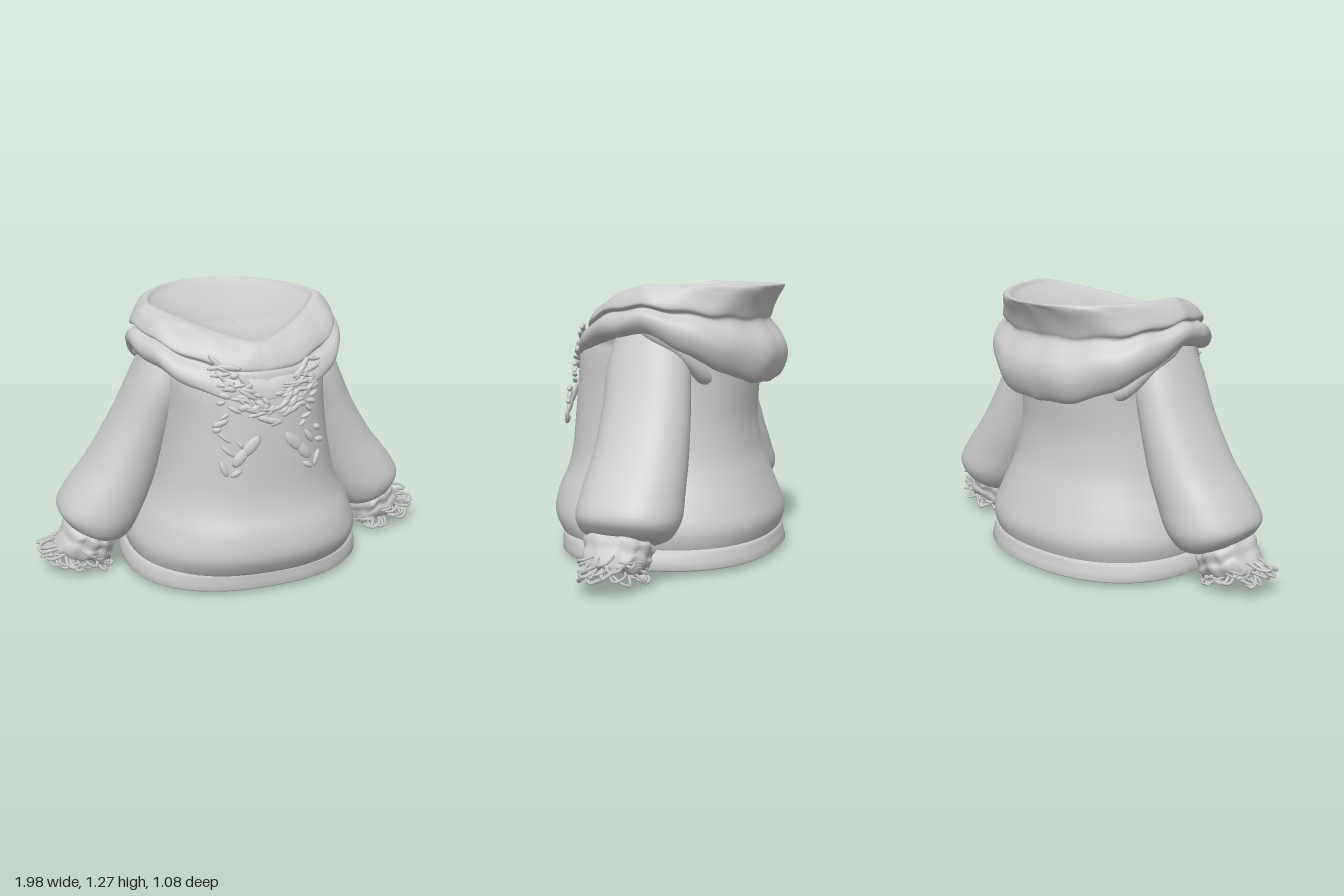
import * as THREE from 'three';

const mat = new THREE.MeshStandardMaterial({ color: 0xcccccc, roughness: 0.9, side: THREE.DoubleSide });

// Small seeded generator for the frayed threads
let seed = 7;
const rnd = (a, b) => {
  seed = (seed * 16807) % 2147483647;
  return a + (b - a) * (seed / 2147483647);
};

// Smoothly interpolate table rows (Catmull-Rom per column)
function smoothRows(rows, k) {
  const out = [];
  const n = rows.length;
  for (let i = 0; i < n - 1; i++) {
    const p = [rows[Math.max(i - 1, 0)], rows[i], rows[i + 1], rows[Math.min(i + 2, n - 1)]];
    for (let s = 0; s < k; s++) {
      const t = s / k;
      out.push(rows[i].map((_, c) => {
        const [a, b, d, e] = p.map((r) => r[c]);
        return b + 0.5 * t * (d - a + t * (2 * a - 5 * b + 4 * d - e + t * (3 * (b - d) + e - a)));
      }));
    }
  }
  out.push(rows[n - 1]);
  return out;
}

// Skin a stack of closed rings; point(row, angle) returns [x, y, z]
function loft(name, rows, seg, point) {
  const pos = [];
  const idx = [];
  rows.forEach((row, i) => {
    for (let j = 0; j < seg; j++) {
      pos.push(...point(row, (j / seg) * Math.PI * 2));
      if (i === rows.length - 1) continue;
      const a = i * seg + j;
      const b = i * seg + ((j + 1) % seg);
      idx.push(a, b, a + seg, b, b + seg, a + seg);
    }
  });
  const g = new THREE.BufferGeometry();
  g.setAttribute('position', new THREE.Float32BufferAttribute(pos, 3));
  g.setIndex(idx);
  g.computeVertexNormals();
  const m = new THREE.Mesh(g, mat);
  m.name = name;
  return m;
}

const spow = (v, e) => Math.sign(v) * Math.pow(Math.abs(v), e);

// Row: front z, half width, back z, y at front / side / back, front roundness, back roundness
function ringPoint([zf, hw, zb, yf, ys, yb, ef, eb], a, zc = 0) {
  const s = Math.sin(a);
  const c = Math.cos(a);
  const e = c > 0 ? ef : eb;
  const w = Math.pow(Math.abs(c), c > 0 ? 2 : 1.1);
  return [
    hw * spow(s, e),
    ys + ((c > 0 ? yf : yb) - ys) * w,
    zc + ((c > 0 ? zf : zb) - zc) * Math.pow(Math.abs(c), e),
  ];
}

// Body rows: y, half width, front z, back z
const bodyRow = ([y, hw, zf, zb]) => [zf, hw, zb, y, y, y, 0.86, 0.88];

function makeBody() {
  const g = new THREE.Group();
  g.name = 'body';
  const torso = [
    [0.08, 0.53, 0.47, -0.49], [0.12, 0.555, 0.505, -0.515], [0.2, 0.562, 0.542, -0.53],
    [0.3, 0.525, 0.53, -0.495], [0.4, 0.475, 0.49, -0.455], [0.5, 0.44, 0.47, -0.42],
    [0.65, 0.41, 0.46, -0.4], [0.8, 0.39, 0.45, -0.41], [0.92, 0.385, 0.437, -0.42],
    [0.99, 0.38, 0.41, -0.42], [1.06, 0.36, 0.35, -0.39], [1.07, 0.001, 0.001, -0.001],
  ];
  g.add(loft('torso', smoothRows(torso.map(bodyRow), 5), 96, ringPoint));
  const hem = [
    [0.025, 0.001, 0.001, -0.001], [0.025, 0.575, 0.485, -0.525], [0.025, 0.575, 0.485, -0.525],
    [0.035, 0.585, 0.492, -0.535], [0.065, 0.582, 0.492, -0.525], [0.095, 0.573, 0.492, -0.518],
    [0.115, 0.56, 0.493, -0.514], [0.125, 0.5, 0.45, -0.46],
  ];
  g.add(loft('hemBand', hem.map(bodyRow), 96, ringPoint));
  return g;
}

// Lowered hood: two rolled folds, a rim and a shallow sagging hollow
function makeHood() {
  const rows = [
    [0.38, 0.36, -0.40, 0.90, 1.04, 0.84, 1.0, 0.9],
    [0.43, 0.465, -0.49, 0.91, 1.055, 0.82, 0.95, 0.9],
    [0.43, 0.505, -0.535, 0.95, 1.10, 0.91, 0.95, 0.9],
    [0.415, 0.50, -0.525, 0.99, 1.145, 1.0, 1.0, 0.9],
    [0.39, 0.46, -0.46, 1.02, 1.165, 1.09, 1.05, 0.9],
    [0.395, 0.485, -0.465, 1.05, 1.185, 1.13, 1.05, 0.92],
    [0.375, 0.465, -0.495, 1.1, 1.23, 1.19, 1.15, 0.97],
    [0.34, 0.43, -0.535, 1.14, 1.265, 1.255, 1.35, 1.0],
    [0.31, 0.4, -0.53, 1.15, 1.27, 1.267, 1.5, 1.05],
    [0.285, 0.375, -0.49, 1.143, 1.25, 1.245, 1.5, 1.05],
    [0.2, 0.28, -0.37, 1.137, 1.212, 1.215, 1.3, 1.0],
    [0.08, 0.15, -0.22, 1.14, 1.175, 1.182, 1.1, 1.0],
    [-0.049, 0.001, -0.051, 1.16, 1.16, 1.16, 1.0, 1.0],
  ];
  return loft('hood', smoothRows(rows, 5), 128, (r, a) => {
    const p = ringPoint(r, a, -0.05);
    // gentle wrinkles in the outer folds
    if (r[1] > 0.43) {
      const b = Math.abs(Math.PI - a);
      const k = 1 + 0.008 * Math.sin(9 * b + 22 * r[4]);
      return [p[0] * k, p[1] + 0.005 * Math.sin(13 * b), p[2] * k];
    }
    return p;
  });
}

// Tube through a few points
function strand(name, points, radius, seg = 10, sides = 5) {
  const curve = new THREE.CatmullRomCurve3(points.map((p) => new THREE.Vector3(...p)));
  const m = new THREE.Mesh(new THREE.TubeGeometry(curve, seg, radius, sides), mat);
  m.name = name;
  return m;
}

// Short fold trailing from the shoulder down to the back, its ends tucked in
const makeTrailingFold = (side) => strand('trailingFold', [
  [0.4, 1.1, 0.02], [0.44, 1.05, -0.1], [0.41, 0.99, -0.19], [0.355, 0.91, -0.25], [0.3, 0.86, -0.27], [0.2, 0.84, -0.26],
].map(([x, y, z]) => [side * x, y, z]), 0.035, 24, 12);

function makeSleeve(side) {
  const g = new THREE.Group();
  g.name = side > 0 ? 'leftSleeve' : 'rightSleeve';
  // inner x, y, outer x, y, front z, back z
  const arm = [
    [0.2, 0.99, 0.42, 1.13, 0.12, -0.19], [0.27, 0.86, 0.5, 0.95, 0.15, -0.235],
    [0.33, 0.68, 0.595, 0.75, 0.14, -0.265], [0.38, 0.51, 0.71, 0.56, 0.14, -0.285],
    [0.43, 0.38, 0.82, 0.42, 0.15, -0.298], [0.49, 0.26, 0.875, 0.325, 0.155, -0.305],
    [0.56, 0.175, 0.85, 0.265, 0.13, -0.265], [0.625, 0.15, 0.825, 0.24, 0.085, -0.2],
  ];
  const cuff = [
    [0.63, 0.17, 0.82, 0.255, 0.08, -0.19], [0.62, 0.135, 0.85, 0.235, 0.1, -0.21],
    [0.63, 0.1, 0.865, 0.2, 0.085, -0.195], [0.635, 0.075, 0.885, 0.175, 0.09, -0.2],
    [0.645, 0.035, 0.91, 0.13, 0.065, -0.165], [0.69, 0.05, 0.88, 0.115, 0.03, -0.13],
    [0.77, 0.085, 0.771, 0.086, -0.05, -0.051],
  ];
  const point = ([xi, yi, xo, yo, zf, zb], a) => {
    const t = (1 + Math.cos(a)) / 2;
    const z = (zf + zb) / 2 + side * ((zf - zb) / 2) * spow(Math.sin(a), 0.8);
    return [side * (xi + (xo - xi) * t), yi + (yo - yi) * t, z];
  };
  g.add(loft('arm', smoothRows(arm, 5), 48, point));
  g.add(loft('cuff', smoothRows(cuff, 3), 48, (r, a) => {
    const p = point(r, a);
    return [p[0], p[1] + 0.008 * Math.sin(7 * a + 30 * r[1]), p[2] + 0.006 * Math.sin(11 * a)];
  }));
  // frayed loops around the cuff, longest on the outside
  for (let i = 0; i < 44; i++) {
    const a = (i / 44) * Math.PI * 2;
    const at = (da, k, dy) => {
      const c = Math.cos(a + da);
      const reach = c > 0 ? k * (1 + 0.4 * c) : Math.min(k, 1.1);
      return [
        side * (0.77 + 0.125 * c * reach),
        Math.max(0.015, 0.09 + 0.04 * c + dy),
        -0.05 + 0.125 * Math.sin(a + da) * Math.min(k, 1.15),
      ];
    };
    const h = rnd(-0.05, 0.05);
    g.add(strand('frayedThread', [
      at(-0.25, 0.8, h + 0.01), at(-0.1, rnd(0.95, 1.3), h + rnd(-0.02, 0.01)),
      at(0.15, rnd(0.95, 1.3), h - rnd(0, 0.02)), at(0.35, 0.8, h + rnd(-0.01, 0.02)),
    ], rnd(0.005, 0.009)));
  }
  return g;
}

// Torn scraps spreading in two tails from the neckline
function makeChestScraps() {
  const g = new THREE.Group();
  g.name = 'chestScraps';
  const front = (x, y) => {
    const zf = y > 0.9 ? 0.435 - (y - 0.9) * 0.28 : 0.475 - (y - 0.6) * 0.13;
    return zf * Math.pow(1 - Math.pow(Math.abs(x) / 0.45, 2.3), 1 / 2.3);
  };
  const ball = new THREE.SphereGeometry(1, 10, 8);
  const addScrap = (x, y, len, wid, tilt) => {
    const m = new THREE.Mesh(ball, mat);
    m.name = 'scrap';
    m.scale.set(len, wid, 0.012);
    m.position.set(x, y, front(x, y) + (y < 0.8 ? 0.03 : 0.016));
    m.rotation.set(-0.1, x * 1.4, tilt);
    g.add(m);
  };
  for (const s of [-1, 1]) {
    // upper tangle along the V
    for (let i = 0; i < 36; i++) {
      const t = i / 35;
      addScrap(s * (0.02 + 0.2 * t) + rnd(-0.03, 0.03), 0.87 + 0.18 * t + rnd(-0.08, 0.05),
        rnd(0.02, 0.05), rnd(0.008, 0.016), s * rnd(-0.4, 1.0));
    }
    // outer drips
    for (let i = 0; i < 10; i++) {
      addScrap(s * rnd(0.14, 0.24), 0.98 - i * 0.03, rnd(0.02, 0.04), rnd(0.009, 0.016), rnd(-1, 1));
    }
    // hanging tails
    addScrap(s * 0.1, 0.73, 0.06, 0.026, -s * 0.8);
    addScrap(s * 0.15, 0.68, 0.05, 0.025, -s * 0.9);
    addScrap(s * 0.17, 0.61, 0.03, 0.014, -s * 0.5);
    addScrap(s * 0.22, 0.63, 0.04, 0.015, s * 1.2);
  }
  return g;
}

export function createModel() {
  seed = 7;
  const model = new THREE.Group();
  model.name = 'hoodedSweater';
  model.add(makeBody(), makeHood(), makeChestScraps());
  for (const side of [1, -1]) model.add(makeSleeve(side), makeTrailingFold(side));
  return model;
}
